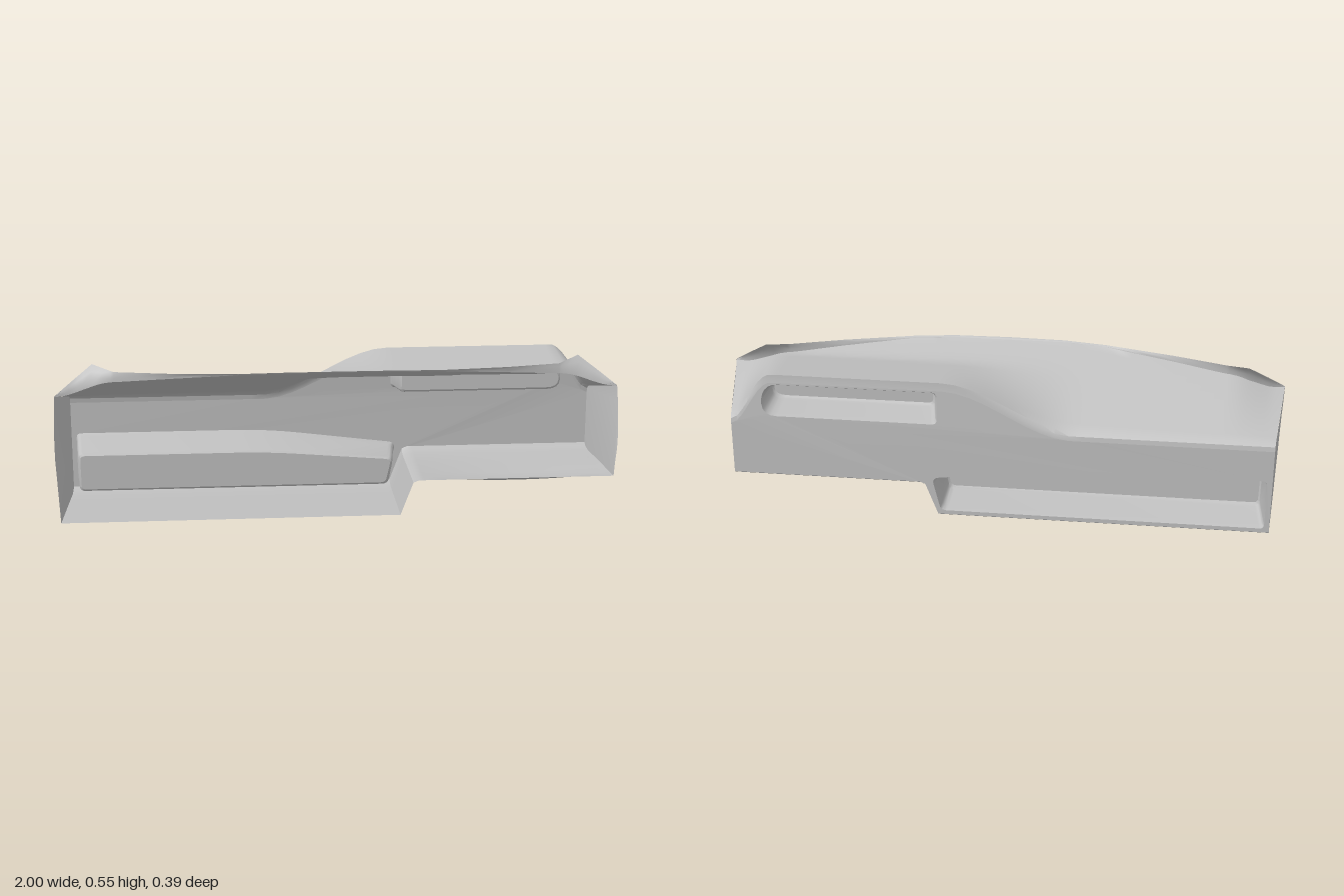
import * as THREE from 'three';
import { toCreasedNormals } from 'three/addons/utils/BufferGeometryUtils.js';

const { smoothstep, lerp } = THREE.MathUtils;

// Straight-line lookup in a short list of [x, value...] keys
function lookup(keys, x, k = 1) {
  let i = 1;
  while (i < keys.length - 1 && x > keys[i][0]) i++;
  const a = keys[i - 1], b = keys[i];
  return lerp(a[k], b[k], Math.min(1, Math.max(0, (x - a[0]) / (b[0] - a[0]))));
}

// Widens the shell towards its open front: x = +-1 is an end panel
function place(x, y, z) {
  const d = z + 0.195;
  const half = x > 0 ? 0.955 + d * (0.026 + 0.28 * y) : 0.967 + d * (0.05 + 0.136 * y);
  return [x - Math.sign(x) * (1 - half) * Math.abs(x) ** 6, y, z];
}

// Upper edge of the back panel, rising into the instrument hump
const lipY = x => 0.37 + 0.162 * (x < 0.5 ? smoothstep(x, -0.26, 0.2) : 1 - smoothstep(x, 0.82, 1.0));
const floorY = x => lookup([[-1, 0.012], [0.215, 0.012], [0.26, 0.132], [0.28, 0.14], [1, 0.14]], x);
const backZ = y => -0.195 + Math.max(0, y - 0.34) * 0.08;

// Windscreen edge of the top: fold line, then the curled rim [x, z, y]
const foldKeys = [[0, 0.184], [0.2, 0.184], [0.35, 0.172], [0.6, 0.125], [0.78, 0.087], [0.87, 0.078], [0.94, 0.084], [1, 0.098]];
const rimKeys = [[0, 0.193, 0.547], [0.2, 0.19, 0.546], [0.35, 0.178, 0.541], [0.6, 0.13, 0.534], [0.79, 0.08, 0.53],
  [0.87, 0.03, 0.547], [0.94, 0.068, 0.496], [1, 0.1, 0.45]];

function topY(x, z) {
  const slope = 0.47 - 0.19 * smoothstep(Math.abs(x), 0.8, 1);
  const t = (z + 0.18) / 0.26;
  return 0.37 + (z + 0.18) * slope + (lipY(x) - 0.37) * Math.max(0, 1 - t);
}

// Surface through rows of [x, y, z] points
function grid(rows, closed = false) {
  const n = rows[0].length, index = [];
  for (let r = 0; r < rows.length - 1; r++) {
    for (let c = 0; c < (closed ? n : n - 1); c++) {
      const a = r * n + c, b = r * n + (c + 1) % n;
      index.push(a, b, b + n, a, b + n, a + n);
    }
  }
  const g = new THREE.BufferGeometry();
  g.setAttribute('position', new THREE.Float32BufferAttribute(rows.flat(2), 3));
  g.setIndex(index);
  return toCreasedNormals(g, 0.6);
}

// Flat outline whose vertices are moved into place by a rule
function sheet(outline, holes, rule) {
  const s = new THREE.Shape(outline);
  s.holes = holes.map(h => new THREE.Path(h));
  const g = new THREE.ShapeGeometry(s), p = g.attributes.position;
  for (let i = 0; i < p.count; i++) p.setXYZ(i, ...rule(p.getX(i), p.getY(i)));
  return toCreasedNormals(g, 0.6);
}

// Polygon with rounded corners; corners are [x, y, radius]
function rounded(corners) {
  const out = [], n = corners.length;
  corners.forEach(([x, y, r], i) => {
    const c = new THREE.Vector2(x, y);
    const toward = j => {
      const d = new THREE.Vector2(corners[j][0], corners[j][1]).sub(c);
      return c.clone().addScaledVector(d.normalize(), r);
    };
    const curve = new THREE.QuadraticBezierCurve(toward((i + n - 1) % n), c, toward((i + 1) % n));
    out.push(...curve.getPoints(5));
  });
  return out;
}

// Shrinks an outline by a fixed margin on each side
function inset(points, m) {
  const box = new THREE.Box2().setFromPoints(points);
  const c = box.getCenter(new THREE.Vector2()), s = box.getSize(new THREE.Vector2());
  return points.map(p => new THREE.Vector2(
    c.x + (p.x - c.x) * (1 - 2 * m / s.x), c.y + (p.y - c.y) * (1 - 2 * m / s.y)));
}

export function createModel() {
  const model = new THREE.Group();
  model.name = 'dashboard';
  const grey = new THREE.MeshStandardMaterial({ color: 0xbfbfbf, side: THREE.DoubleSide });
  grey.name = 'light grey';
  const add = (name, geometry) => {
    const m = new THREE.Mesh(geometry, grey);
    m.name = name;
    model.add(m);
  };

  // Stations across the width, with extra ones at the step and the corner tips
  const xs = [];
  for (let i = -20; i <= 20; i++) xs.push(i / 20);
  xs.push(0.215, 0.26, 0.28);
  for (const e of [0.79, 0.83, 0.87, 0.92, 0.94, 0.97]) xs.push(e, -e);
  xs.sort((a, b) => a - b);

  // Top: rounded rear lip, sloping deck, rim curling up at the front corners
  add('topPanel', grid(xs.map(x => {
    const ax = Math.abs(x), row = [];
    const y0 = lipY(x) - 0.03;
    row.push(place(x, y0, backZ(y0)), place(x, y0 + 0.017, backZ(y0) + 0.003));
    const zf = lookup(foldKeys, ax);
    for (let j = 0; j <= 12; j++) {
      const z = lerp(-0.178, zf, j / 12);
      row.push(place(x, topY(x, z), z));
    }
    const yf = topY(x, zf), zr = lookup(rimKeys, ax, 1), yr = lookup(rimKeys, ax, 2);
    for (const t of [0.35, 0.7, 1]) {
      row.push(place(x, lerp(yf, yr, t), lerp(zf, zr, t * t)));
    }
    return row;
  })));

  // Floor: low under the storage side, stepped up and bulging on the other
  add('bottomPanel', grid(xs.map(x => {
    const bulge = x > 0.28 ? 0.027 * Math.sin(Math.PI * (x - 0.28) / 0.72) : 0;
    return [[0.193, 0, 0], [0.16, -0.001, 0.6], [0.13, -0.002, 0.95], [0.06, -0.004, 0.75], [-0.05, -0.008, 0.35],
      [-0.15, -0.012, 0], [-0.18, -0.007, 0], [-0.195, 0.003, 0]]
      .map(([z, dy, b]) => place(x, floorY(x) + dy - bulge * b, z));
  })));

  // Recess openings in the back panel and their smaller inner ends
  const recesses = [
    { name: 'storageRecess', depth: -0.05,
      open: rounded([[-0.978, 0.03, 0.02], [0.205, 0.03, 0.02], [0.236, 0.16, 0.025], [-0.25, 0.222, 0.12], [-0.978, 0.222, 0.02]]),
      end: rounded([[-0.955, 0.042, 0.02], [0.195, 0.042, 0.02], [0.215, 0.145, 0.025], [-0.25, 0.19, 0.12], [-0.955, 0.19, 0.02]]) },
    { name: 'instrumentRecess', depth: -0.07,
      open: rounded([[0.215, 0.375, 0.02], [0.87, 0.375, 0.07], [0.85, 0.496, 0.06], [0.215, 0.496, 0.02]]),
      end: rounded([[0.235, 0.388, 0.02], [0.85, 0.388, 0.06], [0.83, 0.484, 0.05], [0.235, 0.484, 0.02]]) },
  ];
  for (const { name, depth, open, end } of recesses) {
    const ring = (pts, z) => pts.map(p => place(p.x, p.y, z ?? backZ(p.y)));
    const lip = inset(open, 0.006), cap = inset(end, 0.01);
    add(name, grid([ring(open), ring(lip, -0.172), ring(end, depth - 0.015),
      ring(inset(end, 0.003), depth - 0.005), ring(cap, depth)], true));
    add(name + 'End', sheet(cap, [], (x, y) => place(x, y, depth)));
  }

  // Back panel with the two openings
  const outline = [
    ...xs.map(x => new THREE.Vector2(x, floorY(x) + 0.003)),
    ...xs.slice().reverse().map(x => new THREE.Vector2(x, lipY(x) - 0.03)),
  ];
  add('backPanel', sheet(outline, recesses.map(r => r.open), (x, y) => place(x, y, backZ(y))));

  // End panels with a curved front edge
  for (const side of [-1, 1]) {
    const f = floorY(side);
    const profile = [[0.193, f], [0.187, side > 0 ? 0.18 : 0.14], [0.184, 0.24], [0.17, 0.295], [0.15, 0.345], [0.125, 0.4], [0.1, 0.45],
      [0.07, topY(side, 0.07)], [-0.178, 0.37], [-0.192, 0.357], [-0.195, 0.34],
      [-0.195, f + 0.003], [-0.18, f - 0.007], [-0.15, f - 0.012]].map(p => new THREE.Vector2(...p));
    add(side > 0 ? 'leftEndPanel' : 'rightEndPanel', sheet(profile, [], (z, y) => place(side, y, z)));
  }
  return model;
}
